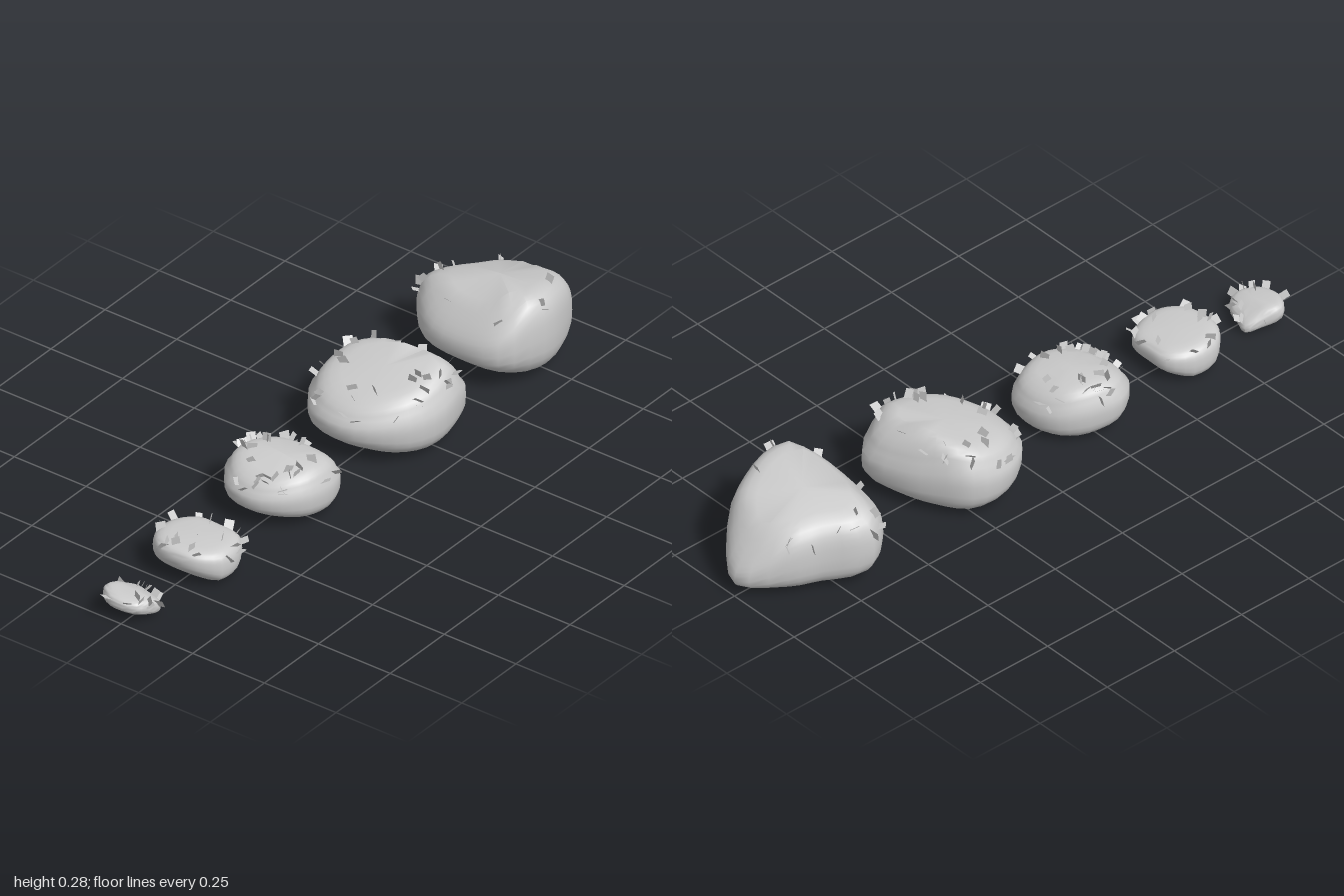
import * as THREE from 'three';
import { toCreasedNormals } from 'three/addons/utils/BufferGeometryUtils.js';

const SIDES = 30;
const RINGS = 16;

// Small seeded random generator
function seeded(seed) {
  return () => {
    seed = (seed * 16807) % 2147483647;
    return seed / 2147483647;
  };
}

// Height profile along x, spread evenly over the length of the rock
function heightAt(profile, t) {
  const f = THREE.MathUtils.clamp(t, 0, 1) * (profile.length - 1);
  const i = Math.min(Math.floor(f), profile.length - 2);
  return THREE.MathUtils.lerp(profile[i], profile[i + 1], f - i);
}

// Rounded stack of plan outlines, fitted between a base and a top profile
function rockGeometry({ x: cx, radii, top, base, slope, ledge }) {
  const corners = radii.map((r, i) => {
    const a = (i / radii.length) * Math.PI * 2;
    return new THREE.Vector3(r * Math.cos(a), 0, r * Math.sin(a));
  });
  const curve = new THREE.CatmullRomCurve3(corners, true, 'centripetal');
  const outline = curve.getPoints(SIDES).slice(0, SIDES);
  const box = new THREE.Box3().setFromPoints(outline);
  const positions = [], index = [];
  for (let r = 0; r <= RINGS; r++) {
    const a = (r / RINGS - 0.5) * Math.PI;
    const h = 0.5 + 0.5 * Math.sign(a) * Math.abs(Math.sin(a)) ** 0.7;
    let scale = Math.cos(a) ** (a < 0 ? 0.5 : 0.32);
    if (h > 0.75) scale *= ledge; // a stepped shoulder below the crown
    outline.forEach((p, i) => {
      const x = p.x * scale, z = p.z * scale;
      const t = (x - box.min.x) / (box.max.x - box.min.x);
      const low = heightAt(base, t);
      const high = heightAt(top, t) + slope * z - 0.08 * Math.abs(slope);
      positions.push(cx + x, low + h * (high - low), z);
      if (r === RINGS) return;
      const v = r * SIDES + i, next = r * SIDES + ((i + 1) % SIDES);
      if (r > 0) index.push(next, v, v + SIDES);
      if (r < RINGS - 1) index.push(next, v + SIDES, next + SIDES);
    });
  }
  const geometry = new THREE.BufferGeometry();
  geometry.setAttribute('position', new THREE.Float32BufferAttribute(positions, 3));
  geometry.setIndex(index);
  geometry.computeVertexNormals();
  return geometry;
}

// Thin square flakes standing out of the upper surface
function addFlakes(group, geometry, amount, material, random) {
  const square = new THREE.PlaneGeometry(1, 1);
  const { position, normal } = geometry.attributes;
  const up = new THREE.Vector3(0, 1, 0), out = new THREE.Vector3();
  const firstRing = RINGS / 2 + 2;
  for (let i = 0; i < amount; i++) {
    const ring = firstRing + Math.floor(random() * (RINGS - firstRing));
    const vertex = ring * SIDES + Math.floor(random() * SIDES);
    const flake = new THREE.Mesh(square, material);
    flake.name = 'flake';
    out.fromBufferAttribute(normal, vertex);
    flake.position.fromBufferAttribute(position, vertex).addScaledVector(out, 0.002 + 0.008 * random());
    flake.quaternion.setFromUnitVectors(up, out);
    flake.rotateY(random() * Math.PI * 2);
    flake.rotateZ((random() - 0.5) * 0.9);
    flake.scale.set(0.02 + 0.01 * random(), 0.024 + 0.01 * random(), 1);
    group.add(flake);
  }
}

export function createModel() {
  const model = new THREE.Group();
  model.name = 'rockRow';
  const stone = new THREE.MeshStandardMaterial({ color: 0xcccccc });
  const flakeMaterial = new THREE.MeshStandardMaterial({ color: 0xcccccc, side: THREE.DoubleSide });
  const random = seeded(4217);

  // radii run round the plan from +x towards +z; top and base run from -x to +x
  function addRock(name, shape, flakes) {
    const group = new THREE.Group();
    group.name = name;
    const geometry = rockGeometry(shape);
    const body = new THREE.Mesh(toCreasedNormals(geometry, 0.85), stone);
    body.name = 'stoneBody';
    group.add(body);
    addFlakes(group, geometry, flakes, flakeMaterial, random);
    model.add(group);
  }

  addRock('largestRock', {
    x: 0.75, slope: 0.15, ledge: 1,
    radii: [0.25, 0.21, 0.195, 0.22, 0.245, 0.215, 0.225, 0.235, 0.165, 0.185],
    top: [0.18, 0.28, 0.265, 0.235, 0.11], base: [0.06, 0.015, 0, 0, 0.01],
  }, 15);
  addRock('tallRock', {
    x: 0.215, slope: 0.03, ledge: 0.95,
    radii: [0.175, 0.235, 0.205, 0.19, 0.185, 0.2, 0.215, 0.212, 0.2, 0.165],
    top: [0.17, 0.205, 0.225, 0.255, 0.18], base: [0.05, 0.015, 0, 0, 0.015],
  }, 34);
  addRock('middleRock', {
    x: -0.25, slope: -0.05, ledge: 0.95,
    radii: [0.15, 0.165, 0.145, 0.135, 0.135, 0.148, 0.165, 0.165, 0.145, 0.145],
    top: [0.14, 0.17, 0.18, 0.17, 0.14], base: [0.04, 0.015, 0, 0.005],
  }, 36);
  addRock('smallRock', {
    x: -0.645, slope: -0.03, ledge: 1,
    radii: [0.11, 0.125, 0.12, 0.12, 0.11, 0.105, 0.12, 0.13, 0.13, 0.128],
    top: [0.12, 0.115, 0.105], base: [0.045, 0.002, 0, 0.03],
  }, 18);
  addRock('smallestRock', {
    x: -0.925, slope: -0.1, ledge: 1,
    radii: [0.058, 0.06, 0.068, 0.06, 0.065, 0.07, 0.085, 0.1, 0.082, 0.09],
    top: [0.08, 0.08, 0.042], base: [0.03, 0.01, 0],
  }, 14);
  return model;
}
